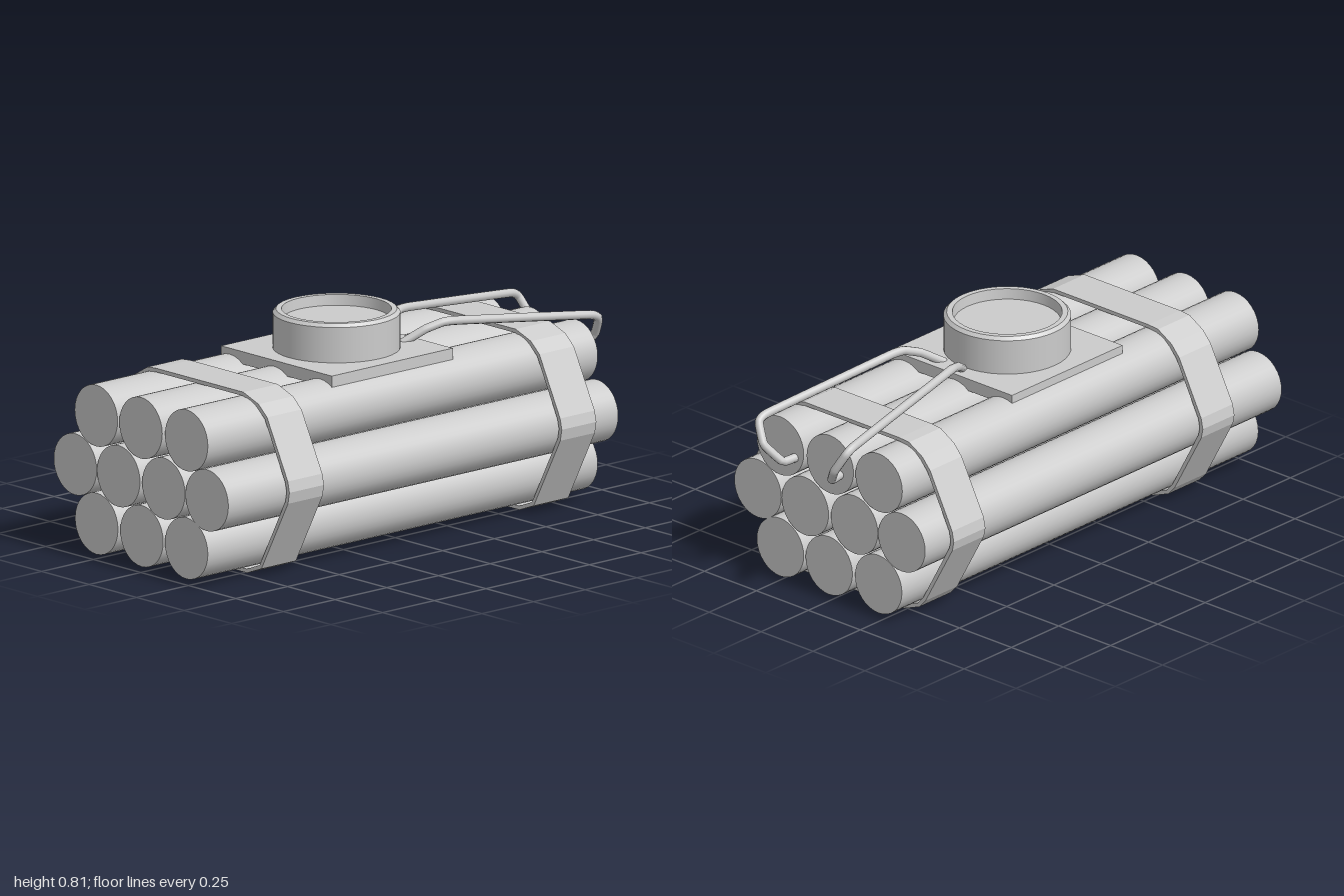
import * as THREE from 'three';

const material = new THREE.MeshStandardMaterial({ color: 0xcccccc });

function add(parent, name, geometry, x = 0, y = 0, z = 0) {
  const mesh = new THREE.Mesh(geometry, material);
  mesh.name = name;
  mesh.position.set(x, y, z);
  parent.add(mesh);
  return mesh;
}

export function createModel() {
  const model = new THREE.Group();
  model.name = 'stickBundle';

  // Ten sticks in three rows, lying along x
  const rows = [
    { y: 0.138, zs: [0.24, 0.005, -0.233] },
    { y: 0.335, zs: [0.348, 0.12, -0.117, -0.345] },
    { y: 0.535, zs: [0.24, 0, -0.235] },
  ];
  const stick = new THREE.CylinderGeometry(0.113, 0.113, 1.885, 32).rotateZ(Math.PI / 2);
  for (const { y, zs } of rows) {
    for (const z of zs) add(model, 'stick', stick, -0.0575, y, z);
  }

  // Straps: hexagonal bands with softened corners, [z, y] outlines
  const outer = [
    [0.26, 0.003], [-0.24, 0.003], [-0.315, 0.032], [-0.345, 0.065], [-0.474, 0.3], [-0.481, 0.335],
    [-0.473, 0.375], [-0.367, 0.58], [-0.33, 0.622], [-0.265, 0.66], [-0.22, 0.664], [0.24, 0.664],
    [0.32, 0.635], [0.365, 0.595], [0.474, 0.38], [0.483, 0.34], [0.475, 0.298], [0.335, 0.032],
  ];
  const inner = [
    [0.258, 0.017], [-0.238, 0.017], [-0.307, 0.044], [-0.333, 0.073], [-0.459, 0.305], [-0.466, 0.335],
    [-0.459, 0.37], [-0.354, 0.572], [-0.321, 0.61], [-0.26, 0.646], [-0.22, 0.65], [0.238, 0.65],
    [0.312, 0.623], [0.353, 0.586], [0.46, 0.375], [0.468, 0.34], [0.461, 0.303], [0.326, 0.044],
  ];
  const toPoints = (list) => list.map(([z, y]) => new THREE.Vector2(-z, y));
  const bandShape = new THREE.Shape(toPoints(outer));
  bandShape.holes.push(new THREE.Path(toPoints(inner)));
  const band = new THREE.ExtrudeGeometry(bandShape, { depth: 0.167, bevelEnabled: false })
    .rotateY(Math.PI / 2);
  for (const x of [-0.725, 0.592]) add(model, 'strap', band, x);

  // Mounting plate
  add(model, 'mountingPlate', new THREE.BoxGeometry(0.585, 0.046, 0.583), -0.0625, 0.647, 0.012);

  // Round timer housing with bevelled rim and recessed face; doubled points keep edges sharp
  const rim = [
    [0.228, 0], [0.228, 0.132], [0.216, 0.144], [0.196, 0.144], [0.192, 0.105], [0, 0.105],
  ];
  for (let i = 0; i < rim.length - 1; i++) {
    const part = [rim[i], rim[i + 1]].map(([r, y]) => new THREE.Vector2(r, y));
    add(model, 'timerHousing', new THREE.LatheGeometry(part, 40), -0.063, 0.668, 0.01);
  }

  // Two mirrored wires from the timer to the stick ends
  const wirePath = [
    [0.17, 0.665, 0.012], [0.24, 0.71, -0.03], [0.3, 0.73, -0.057], [0.36, 0.728, -0.07],
    [0.92, 0.665, -0.15], [0.965, 0.645, -0.15], [0.983, 0.575, -0.11],
    [0.94, 0.51, -0.058], [0.88, 0.51, -0.048],
  ];
  for (const mirrored of [false, true]) {
    const points = wirePath.map(([x, y, z]) => new THREE.Vector3(x, y, mirrored ? 0.12 - z : z));
    const curve = new THREE.CatmullRomCurve3(points, false, 'catmullrom', 0.15);
    add(model, 'wire', new THREE.TubeGeometry(curve, 80, 0.016, 10));
    // Rounded cap on the timer end
    add(model, 'wireEnd', new THREE.SphereGeometry(0.016, 10, 8), ...points[0].toArray());
  }

  return model;
}
